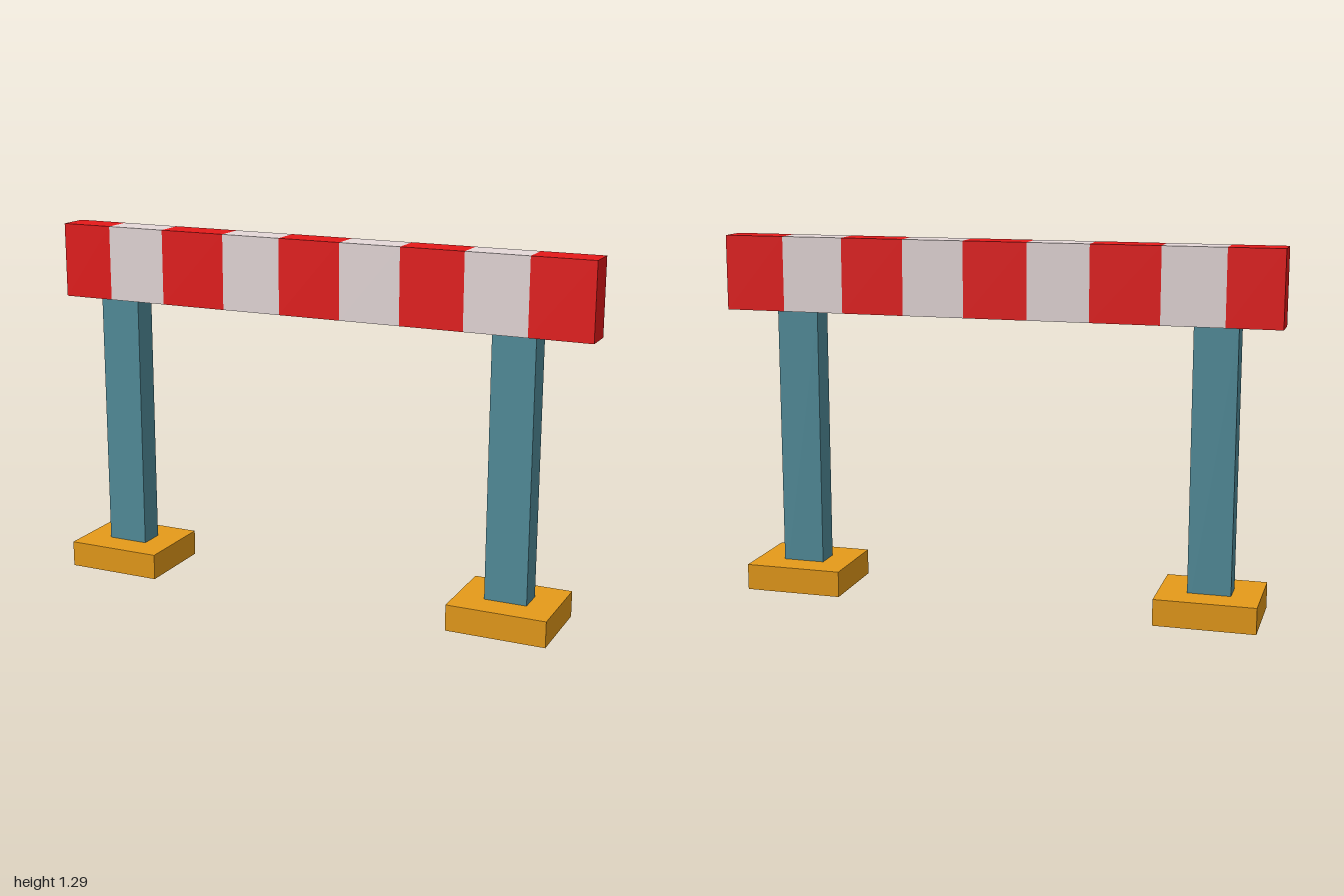
import * as THREE from 'three';

const red = new THREE.MeshStandardMaterial({ name: 'red', color: 0xe61a1a });
const white = new THREE.MeshStandardMaterial({ name: 'offWhite', color: 0xe6d9d9 });
const teal = new THREE.MeshStandardMaterial({ name: 'teal', color: 0x528d9b, side: THREE.DoubleSide });
const ochre = new THREE.MeshStandardMaterial({ name: 'ochre', color: 0xe69b1a, side: THREE.DoubleSide });

// Box given by its limits; openBottom drops the underside face
function box(name, material, [x0, x1], [y0, y1], [z0, z1], openBottom = false) {
  const geometry = new THREE.BoxGeometry(x1 - x0, y1 - y0, z1 - z0);
  if (openBottom) {
    const index = Array.from(geometry.index.array);
    index.splice(18, 6);
    geometry.setIndex(index);
    geometry.clearGroups();
  }
  const mesh = new THREE.Mesh(geometry, material);
  mesh.name = name;
  mesh.position.set((x0 + x1) / 2, (y0 + y1) / 2, (z0 + z1) / 2);
  return mesh;
}

export function createModel() {
  const model = new THREE.Group();
  model.name = 'barrier';

  // Striped crossbeam
  const beam = new THREE.Group();
  beam.name = 'beam';
  const seams = [-1, -0.808, -0.588, -0.343, -0.123, 0.106, 0.328, 0.556, 0.78, 1];
  for (let i = 0; i < seams.length - 1; i++) {
    beam.add(box(i % 2 ? 'whiteStripe' : 'redStripe', i % 2 ? white : red,
      [seams[i], seams[i + 1]], [1.026, 1.295], [-0.055, 0.055]));
  }
  model.add(beam);

  // Posts standing in hollow feet
  for (const [side, x] of [['right', -0.777], ['left', 0.731]]) {
    model.add(box(side + 'Post', teal, [x - 0.076, x + 0.076], [0, 1.03], [-0.047, 0.047], true));
    model.add(box(side + 'Foot', ochre, [x - 0.178, x + 0.178], [0.002, 0.096], [-0.153, 0.153], true));
  }
  return model;
}
